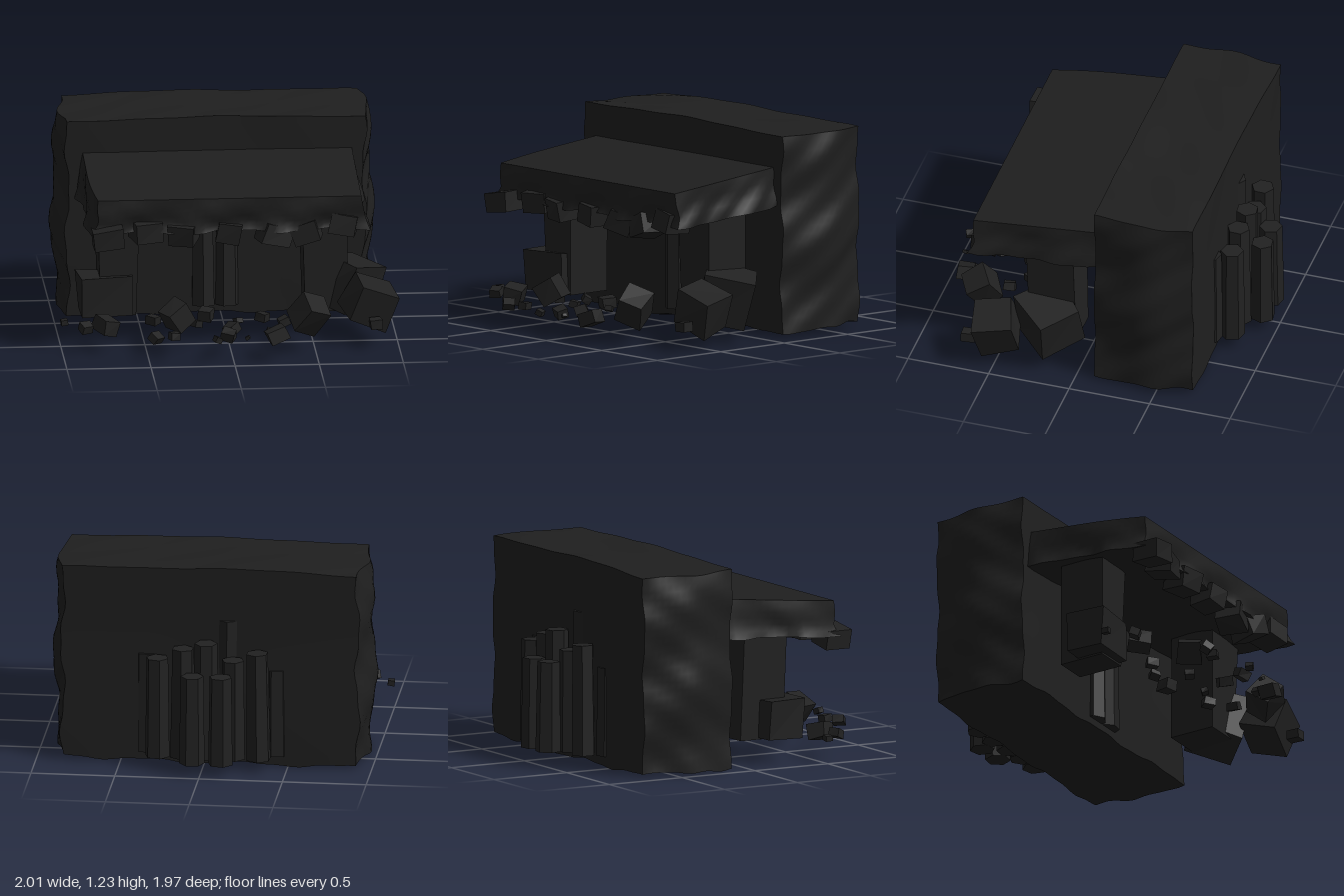
import * as THREE from 'three';

// small seeded random generator
function seeded(seed) {
  let s = seed;
  return () => {
    s = (s * 16807) % 2147483647;
    return s / 2147483647;
  };
}

// smooth bumpy field, about -1..1
const wave = (a, b, p) =>
  0.5 * Math.sin(a * 11 + p + 1.5 * Math.sin(b * 5 + p)) +
  0.3 * Math.sin(b * 14 + 2 * p) + 0.2 * Math.sin(a * 27 + b * 19 + p);

export function createModel() {
  const group = new THREE.Group();
  const smoothStone = new THREE.MeshStandardMaterial({ color: 0x1f1f1f });
  smoothStone.name = 'darkStone';
  const chippedStone = new THREE.MeshStandardMaterial({ color: 0x212121, flatShading: true });
  chippedStone.name = 'chippedStone';

  function add(name, geometry, material, parent = group) {
    const mesh = new THREE.Mesh(geometry, material);
    mesh.name = name;
    parent.add(mesh);
    return mesh;
  }

  function subGroup(name) {
    const g = new THREE.Group();
    g.name = name;
    group.add(g);
    return g;
  }

  // box whose vertices are moved by a rule; separate faces keep the edges crisp
  function roughBox(w, h, d, seg, rule) {
    const geo = new THREE.BoxGeometry(w, h, d, ...seg);
    const p = geo.attributes.position;
    const v = new THREE.Vector3();
    for (let i = 0; i < p.count; i++) {
      v.fromBufferAttribute(p, i);
      rule(v, v.x / (w / 2), v.y / (h / 2), v.z / (d / 2));
      p.setXYZ(i, v.x, v.y, v.z);
    }
    geo.computeVertexNormals();
    return geo;
  }

  // main cliff: flat front and back, eroded ends and underside
  const cliff = add('cliffBlock', roughBox(1.77, 1.2, 0.6, [36, 26, 16], (v, u, t, s) => {
    const { x, y, z } = v;
    const end = Math.pow(Math.abs(u), 12);
    const bulge = 0.06 * (1 - s * s) * (1 - 0.6 * t * t) + 0.028 * wave(y, z, u > 0 ? 1 : 4);
    v.x += Math.sign(u) * end * bulge;
    // top droops at the ends, underside rises to the left
    v.y += t > 0
      ? t * (0.01 * wave(x * 0.5, z, 2) - 0.014 * u * u * u * u)
      : -t * (0.018 * wave(x, z * 1.6, 3) + (u > 0 ? 0.015 * u * u : 0));
    v.z += 0.006 * s * wave(x * 0.4, y * 0.4, 5);
  }), smoothStone);
  cliff.position.set(-0.035, 0.64, -0.415);

  // overhanging slab, sloping and narrowing to the front
  const roof = add('overhangSlab', roughBox(1.6, 0.22, 0.86, [36, 6, 18], (v, u, t, s) => {
    const { x, y, z } = v;
    const end = Math.pow(Math.abs(u), 12);
    const front = Math.pow(Math.max(s, 0), 12);
    v.x += Math.sign(u) * end * (1 - t) * (0.012 + 0.02 * wave(z, y * 2, u > 0 ? 2 : 6));
    if (u < 0) v.x -= u * 0.035 * Math.max(s, 0) ** 2;
    v.z += front * 0.02 * (1 - t) * wave(x, y * 2, 3);
    v.y += (t < 0 ? -t * 0.016 * wave(x, z, 1) : 0) - 0.1 * z - (t < 0 ? 0.012 * s * t : 0);
  }), smoothStone);
  roof.position.set(-0.025, 0.893, 0.235);

  // hexagonal basalt columns: [x, z, top]
  const columns = subGroup('basaltColumns');
  [
    [0.27, -0.785, 0.7], [0.12, -0.78, 0.76], [-0.02, -0.785, 0.8],
    [-0.18, -0.785, 0.7], [-0.33, -0.79, 0.75],
    [0.05, -0.905, 0.63], [-0.12, -0.905, 0.63],
    [-0.14, -0.67, 0.92], [-0.43, -0.67, 0.62], [0.34, -0.67, 0.7],
    [-0.11, -0.125, 0.64], [0.035, -0.13, 0.6],
  ].forEach(([x, z, top], i) => {
    const h = top - 0.09;
    const col = add('basaltColumn', new THREE.CylinderGeometry(0.068, 0.076, h, 6), chippedStone, columns);
    col.position.set(x, 0.09 + h / 2, z);
    col.rotation.set(0, 0.3 + i * 0.7, 0.012 * Math.sin(i * 2));
  });

  // angular rock: a box with shifted corners shared between its faces
  const random = seeded(71);
  function rock(name, parent, [x, y, z], [w, h, d], [rx, ry, rz]) {
    const offsets = Array.from({ length: 8 }, () => [0, 1, 2].map(() => (random() - 0.5) * 0.12));
    const geo = roughBox(w, h, d, [1, 1, 1], (v, u, t, s) => {
      const o = offsets[(u > 0 ? 1 : 0) + (t > 0 ? 2 : 0) + (s > 0 ? 4 : 0)];
      v.x += o[0] * w;
      v.y += o[1] * h;
      v.z += o[2] * d;
    });
    const mesh = add(name, geo, chippedStone, parent);
    mesh.position.set(x, y, z);
    mesh.rotation.set(rx, ry, rz, 'ZYX');
  }

  // pillars carrying the slab
  const pillars = subGroup('pillars');
  [[-0.645, 0.23], [0.585, 0.26]].forEach(([x, w]) => {
    const pillar = add('pillar', roughBox(w, 0.64, 0.29, [1, 1, 1], (v, u, t) => {
      v.x += 0.01 * t * u;
      v.z += 0.008 * t;
    }), chippedStone, pillars);
    pillar.position.set(x, 0.48, 0.2);
  });

  // fallen boulders
  const boulders = subGroup('boulders');
  [
    [[0.72, 0.3, 0.205], [0.29, 0.29, 0.29], [0, 0.78, -0.33]],
    [[0.835, 0.265, 0.5], [0.24, 0.23, 0.23], [0.15, 0.25, -0.4]],
    [[0.46, 0.25, 0.71], [0.16, 0.18, 0.16], [0.4, 0.5, -0.4]],
    [[-0.72, 0.28, 0.285], [0.31, 0.24, 0.24], [0, 0.03, 0]],
    [[-0.32, 0.25, 0.68], [0.14, 0.13, 0.14], [0.3, 0.4, 0.6]],
  ].forEach((b) => rock('boulder', boulders, ...b));

  // loose rocks hanging under the front lip: [x, y, z, width, roll]
  const lip = subGroup('lipRocks');
  [
    [-0.735, 0.74, 0.68, 0.18, 0.12], [-0.5, 0.765, 0.61, 0.18, 0.03], [-0.28, 0.745, 0.61, 0.16, -0.05],
    [-0.01, 0.745, 0.61, 0.14, -0.15], [0.26, 0.725, 0.6, 0.18, -0.3], [0.45, 0.725, 0.6, 0.16, 0.35],
    [0.68, 0.775, 0.6, 0.16, -0.15],
  ].forEach(([x, y, z, w, roll], i) =>
    rock('lipRock', lip, [x, y, z], [w, 0.12, 0.16], [0.15 * Math.sin(i), 0.3 * Math.sin(i * 2), roll]));

  // scattered pebbles: [x, z, size]
  const pebbles = subGroup('pebbles');
  [
    [-0.98, 0.51, 0.04], [-0.86, 0.64, 0.06], [-0.74, 0.6, 0.11], [-0.46, 0.89, 0.06], [-0.35, 0.86, 0.055],
    [-0.2, 0.6, 0.05], [-0.03, 0.86, 0.07], [-0.1, 0.96, 0.04], [0, 0.72, 0.07], [0.08, 0.93, 0.025],
    [0.26, 0.87, 0.1], [0.22, 0.81, 0.045], [0.32, 0.58, 0.06], [0.2, 0.48, 0.06], [0.86, 0.67, 0.07],
    [-0.13, 0.4, 0.08], [-0.45, 0.5, 0.06], [-0.3, 0.42, 0.05], [0.05, 0.55, 0.04],
  ].forEach(([x, z, s]) =>
    rock('pebble', pebbles, [x, 0.175, z], [s * 1.15, s * 0.8, s], [random() - 0.5, random() * 3, random() - 0.5]));

  return group;
}
